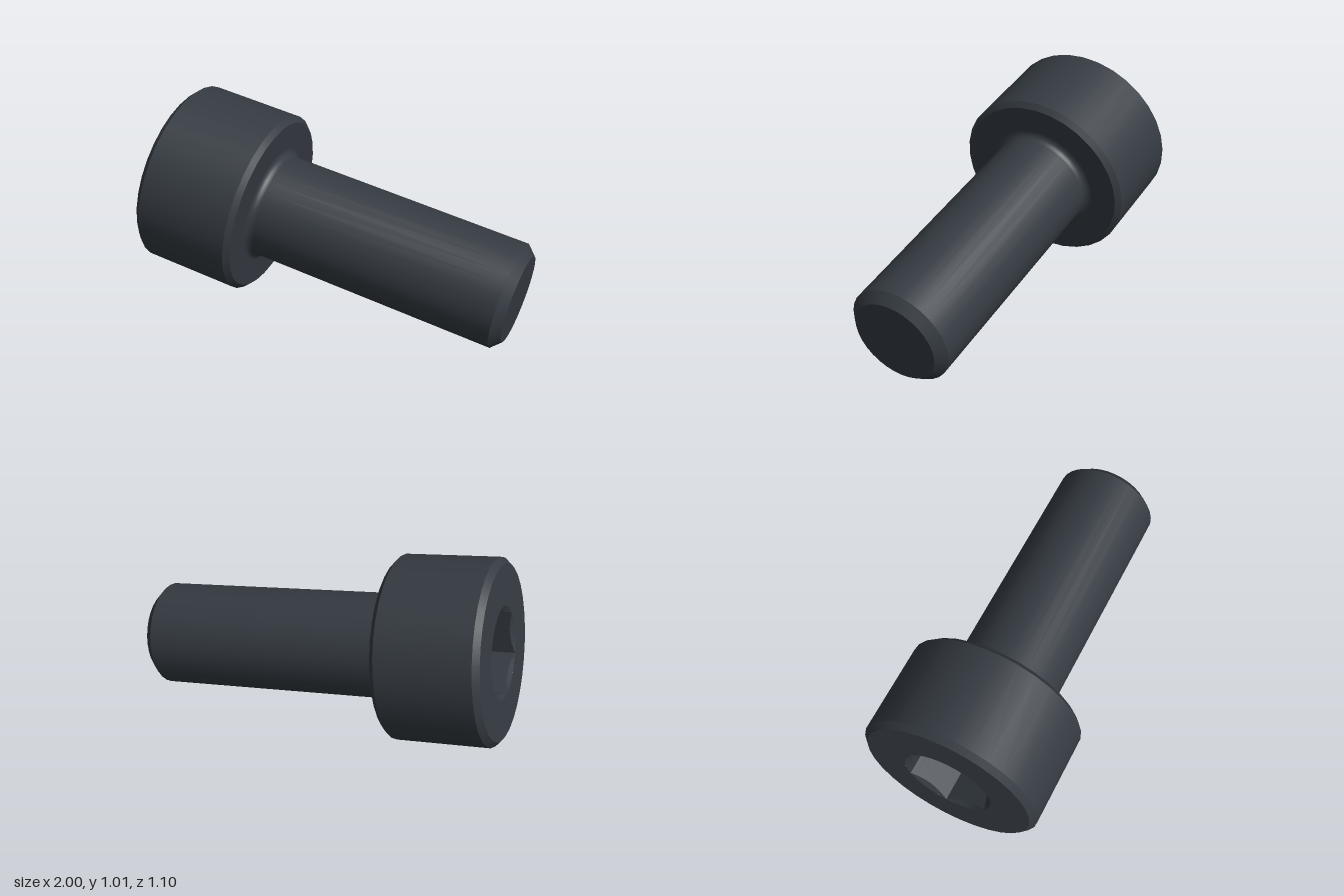
import * as THREE from 'three';

const SIDES = 32;
const HEAD_R = 0.472, HEAD_H = 0.54;
const SHANK_R = 0.27, LENGTH = 1.89;
const SOCKET_R = 0.234, SOCKET_DEPTH = 0.27;

// Hexagonal socket wall with a conical lead-in, opening towards -y
function socketGeometry() {
  const n = 48, flat = SOCKET_R * Math.cos(Math.PI / 6);
  const rings = [[], [], []];
  for (let i = 0; i <= n; i++) {
    const t = (i / n) * Math.PI * 2;
    const r = flat / Math.cos((t % (Math.PI / 3)) - Math.PI / 6);
    const at = (rad, y) => [rad * Math.cos(t), y, rad * Math.sin(t)];
    rings[0].push(at(SOCKET_R, 0));
    rings[1].push(at(r, Math.max(0, SOCKET_R - r) * 0.6));
    rings[2].push(at(r, SOCKET_DEPTH));
  }
  const pos = [];
  for (let k = 0; k < 2; k++) {
    for (let i = 0; i < n; i++) {
      const a = rings[k][i], b = rings[k][i + 1];
      const c = rings[k + 1][i], d = rings[k + 1][i + 1];
      pos.push(...a, ...b, ...c, ...b, ...d, ...c);
    }
  }
  const g = new THREE.BufferGeometry();
  g.setAttribute('position', new THREE.Float32BufferAttribute(pos, 3));
  g.computeVertexNormals();
  return g;
}

export function createModel() {
  const steel = new THREE.MeshStandardMaterial({ color: 0x353b42 });
  steel.name = 'blackened steel';

  const screw = new THREE.Group();
  screw.name = 'capScrew';
  const add = (name, geometry) => {
    const mesh = new THREE.Mesh(geometry, steel);
    mesh.name = name;
    screw.add(mesh);
    return mesh;
  };
  // Each turned surface is its own lathe, so the edges between them stay sharp
  const turn = (name, points) =>
    add(name, new THREE.LatheGeometry(points.map(p => new THREE.Vector2(...p)), SIDES));

  // Head
  const topBevel = 0.03, lowBevel = 0.026, fillet = 0.035;
  turn('headFace', [[SOCKET_R, 0], [HEAD_R - topBevel, 0]]);
  turn('headTopBevel', [[HEAD_R - topBevel, 0], [HEAD_R, topBevel]]);
  turn('headSide', [[HEAD_R, topBevel], [HEAD_R, HEAD_H - lowBevel]]);
  turn('headLowerBevel', [[HEAD_R, HEAD_H - lowBevel], [HEAD_R - lowBevel, HEAD_H]]);
  turn('headUnderside', [[HEAD_R - lowBevel, HEAD_H], [SHANK_R + fillet, HEAD_H]]);

  // Socket
  add('socketWalls', socketGeometry());
  const floor = add('socketFloor', new THREE.CircleGeometry(SOCKET_R, 6));
  floor.rotation.x = Math.PI / 2;
  floor.position.y = SOCKET_DEPTH;

  // Shank with a fillet under the head and a bevelled tip
  const arc = [];
  for (let i = 0; i <= 6; i++) {
    const t = (i / 6) * Math.PI / 2;
    arc.push([SHANK_R + fillet * (1 - Math.sin(t)), HEAD_H + fillet * (1 - Math.cos(t))]);
  }
  const tipBevel = 0.047;
  turn('shankFillet', arc);
  turn('shank', [[SHANK_R, HEAD_H + fillet], [SHANK_R, LENGTH - tipBevel]]);
  turn('tipBevel', [[SHANK_R, LENGTH - tipBevel], [SHANK_R - tipBevel, LENGTH]]);
  turn('tipFace', [[SHANK_R - tipBevel, LENGTH], [0, LENGTH]]);

  // Lay the screw down: local y runs from head to tip, local x is a socket corner
  const axis = new THREE.Vector3(0.967, -0.15, 0.206).normalize();
  const corner = new THREE.Vector3(0, 1, 0).addScaledVector(axis, -axis.y).normalize();
  const side = new THREE.Vector3().crossVectors(corner, axis);
  screw.quaternion.setFromRotationMatrix(new THREE.Matrix4().makeBasis(corner, axis, side));
  screw.position.set(-0.885, 0.5435, -0.092);

  const model = new THREE.Group();
  model.name = 'model';
  model.add(screw);
  return model;
}
